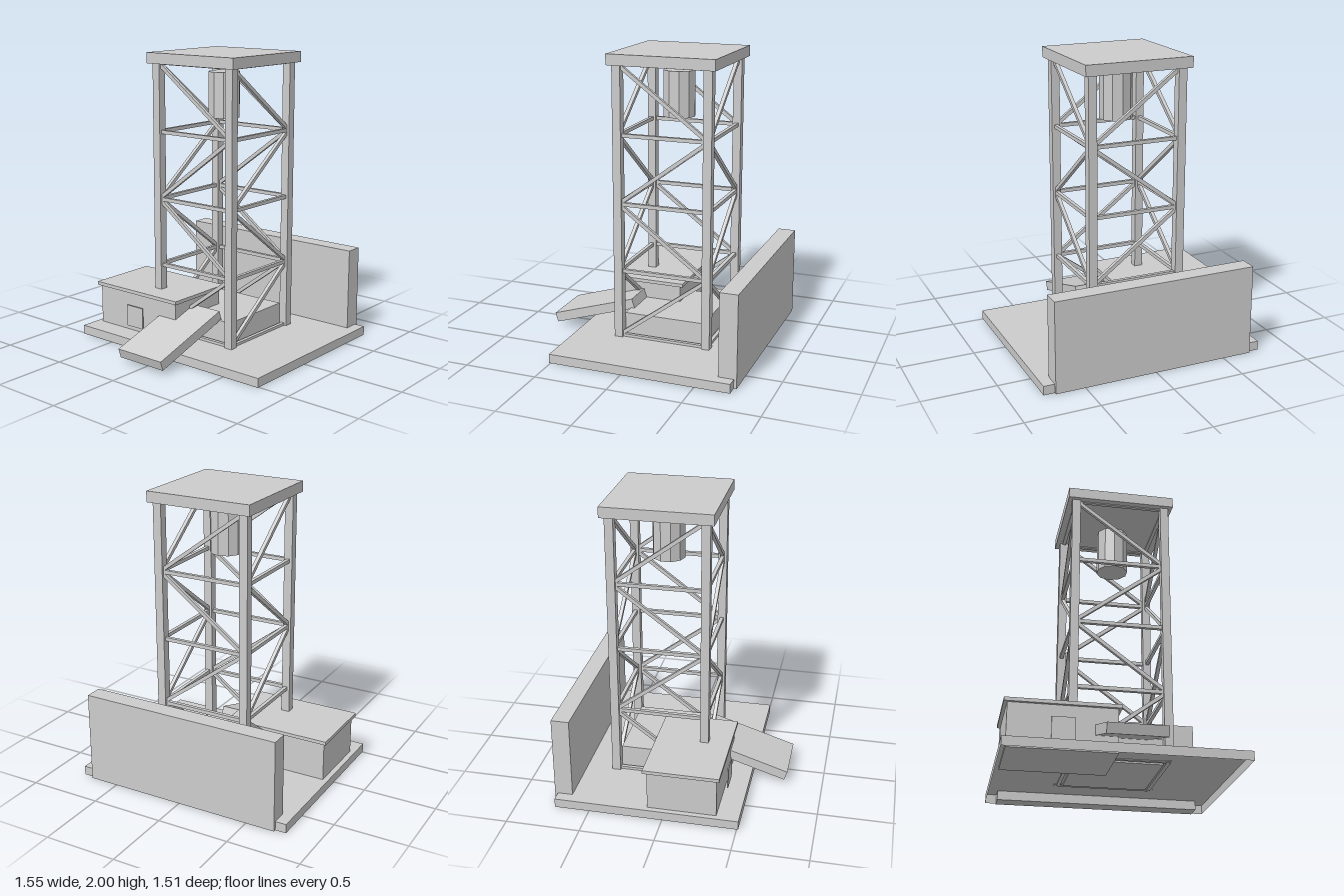
import * as THREE from 'three';

const grey = new THREE.MeshStandardMaterial({ color: 0xcccccc, side: THREE.DoubleSide });
grey.name = 'plain grey';

// Box given by its limits on each axis
function block(name, [x0, x1], [y0, y1], [z0, z1]) {
  const mesh = new THREE.Mesh(new THREE.BoxGeometry(x1 - x0, y1 - y0, z1 - z0), grey);
  mesh.position.set((x0 + x1) / 2, (y0 + y1) / 2, (z0 + z1) / 2);
  mesh.name = name;
  return mesh;
}

// Square bar running between two points
function bar(name, a, b, size) {
  const mesh = new THREE.Mesh(new THREE.BoxGeometry(size, size, a.distanceTo(b)), grey);
  mesh.position.addVectors(a, b).multiplyScalar(0.5);
  mesh.lookAt(b);
  mesh.name = name;
  return mesh;
}

function createTower() {
  const tower = new THREE.Group();
  tower.name = 'tower';
  const half = 0.312, bottom = 0.068, bay = 0.466, bays = 4, size = 0.025;
  const sides = [-1, 1];

  // Four corner legs
  for (const sx of sides) for (const sz of sides) {
    const x = sx * half, z = sz * half;
    tower.add(block('leg', [x - 0.029, x + 0.029], [0.06, 1.93], [z - 0.029, z + 0.029]));
  }

  // Level bars and zigzag diagonals on all four faces
  for (const s of sides) {
    const onX = (t, y) => new THREE.Vector3(t * half, y, s * half);
    const onZ = (t, y) => new THREE.Vector3(s * half, y, -t * half);
    for (const at of [onX, onZ]) {
      for (let i = 0; i <= bays; i++) {
        const y = bottom + i * bay;
        tower.add(bar('levelBrace', at(-1, y), at(1, y), size));
        if (i === bays) continue;
        const t = i % 2 ? 1 : -1;
        tower.add(bar('diagonalBrace', at(t, y), at(-t, y + bay), size));
      }
    }
  }

  // Flat roof and the drum hanging below it
  tower.add(block('towerRoof', [-0.369, 0.369], [1.927, 2], [-0.369, 0.369]));
  const drum = new THREE.Mesh(new THREE.CylinderGeometry(0.11, 0.11, 0.31, 10).toNonIndexed(), grey);
  drum.geometry.computeVertexNormals();
  drum.position.y = 1.715;
  drum.name = 'hangingDrum';
  tower.add(drum);

  // Low platform between the legs
  tower.add(block('platform', [-0.283, 0.283], [0.05, 0.22], [-0.283, 0.283]));
  tower.position.z = -0.113;
  return tower;
}

export function createModel() {
  const model = new THREE.Group();
  model.name = 'towerSite';

  // Base slab, open underneath
  const base = block('baseSlab', [-0.777, 0.777], [0, 0.062], [-0.738, 0.51]);
  const index = Array.from(base.geometry.index.array);
  index.splice(18, 6);
  base.geometry.setIndex(index);
  base.geometry.clearGroups();
  model.add(base);

  // Back wall
  model.add(block('backWall', [-0.702, 0.702], [0, 0.625], [-0.757, -0.635]));

  model.add(createTower());

  // Shed with overhanging roof and a front panel
  const shed = new THREE.Group();
  shed.name = 'shed';
  shed.add(block('shedWalls', [-0.74, -0.04], [0.045, 0.336], [-0.108, 0.358]));
  shed.add(block('shedRoof', [-0.762, -0.018], [0.336, 0.36], [-0.133, 0.378]));
  shed.add(block('shedPanel', [-0.465, -0.317], [0.1, 0.25], [0.381, 0.389]));
  model.add(shed);

  // Sloping ramp in front of the tower
  const ramp = new THREE.Mesh(new THREE.BoxGeometry(0.375, 0.067, 0.622), grey);
  ramp.position.set(0, 0.158, 0.451);
  ramp.rotation.x = 0.305;
  ramp.name = 'ramp';
  model.add(ramp);

  return model;
}
